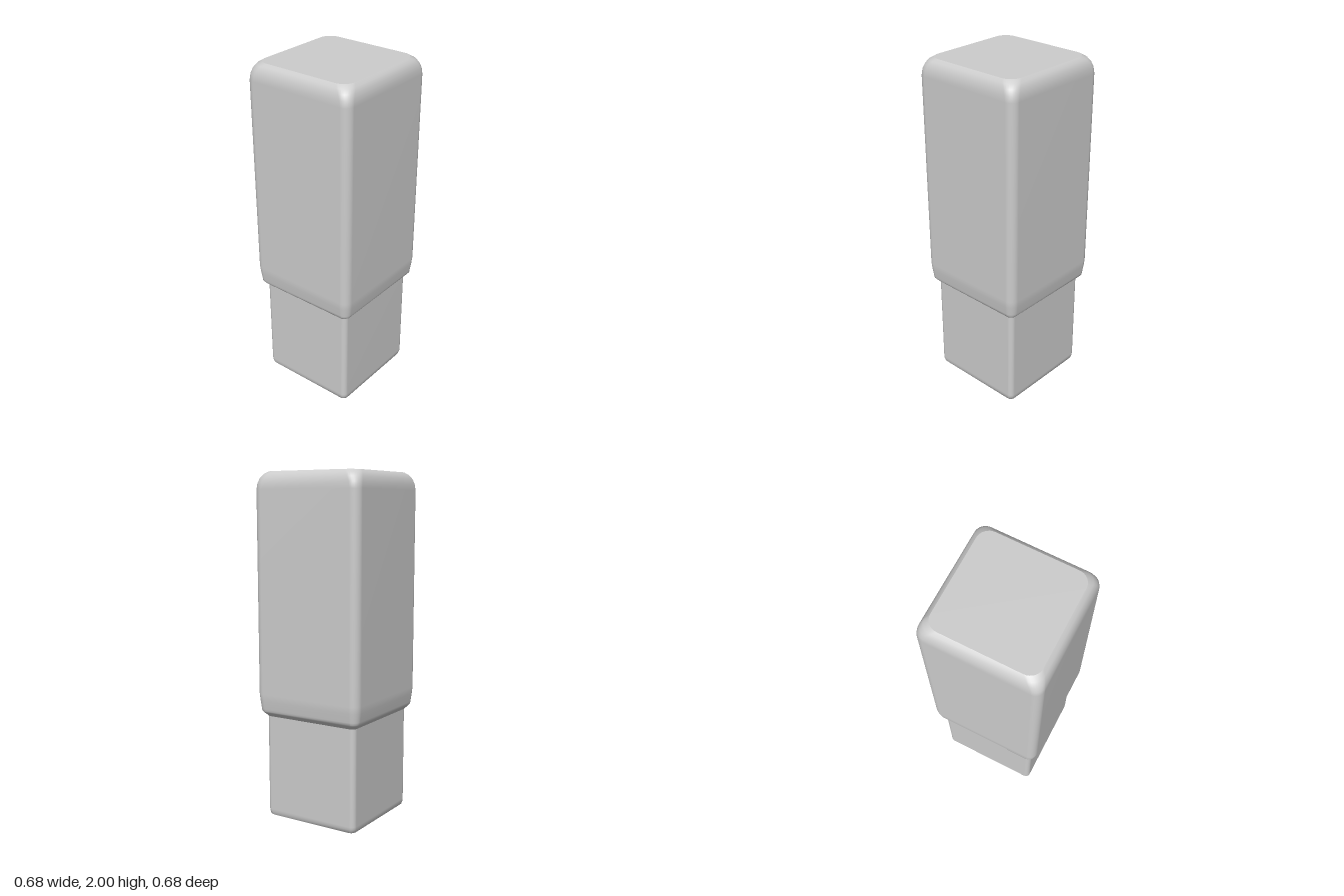
import * as THREE from 'three';

const CORNER_STEPS = 8;

// Outline of a rounded square at one height: half width, corner radius, height
function ring([half, radius, y]) {
  const points = [];
  for (let corner = 0; corner < 4; corner++) {
    const middle = (corner + 0.5) * Math.PI / 2;
    const cx = Math.sign(Math.cos(middle)) * (half - radius);
    const cz = Math.sign(Math.sin(middle)) * (half - radius);
    for (let i = 0; i <= CORNER_STEPS; i++) {
      const a = (corner + i / CORNER_STEPS) * Math.PI / 2;
      points.push(cx + radius * Math.cos(a), y, cz + radius * Math.sin(a));
    }
  }
  return points;
}

// Smooth skin through the rings, listed bottom to top, with flat ends
function loft(sections, closeBottom, closeTop) {
  const n = 4 * (CORNER_STEPS + 1);
  const positions = sections.flatMap(ring);
  const index = [];
  for (let s = 0; s < sections.length - 1; s++) {
    for (let i = 0; i < n; i++) {
      const a = s * n + i, b = s * n + (i + 1) % n;
      index.push(a, a + n, b, b, a + n, b + n);
    }
  }
  const addEnd = (section, up) => {
    const start = positions.length / 3;
    positions.push(...ring(section), 0, section[2], 0);
    for (let i = 0; i < n; i++) {
      const a = start + i, b = start + (i + 1) % n;
      index.push(start + n, up ? b : a, up ? a : b);
    }
  };
  if (closeBottom) addEnd(sections[0], false);
  if (closeTop) addEnd(sections[sections.length - 1], true);
  const geometry = new THREE.BufferGeometry();
  geometry.setAttribute('position', new THREE.Float32BufferAttribute(positions, 3));
  geometry.setIndex(index);
  geometry.computeVertexNormals();
  return geometry;
}

export function createModel() {
  const group = new THREE.Group();
  const grey = new THREE.MeshStandardMaterial({ color: 0xcccccc });
  grey.name = 'plain grey';

  // Narrow base with a small rounded bottom edge
  const base = new THREE.Mesh(loft([
    [0.285, 0.03, 0], [0.293, 0.03, 0.006], [0.298, 0.03, 0.025],
    [0.299, 0.03, 0.04], [0.299, 0.03, 0.62],
  ], true, false), grey);
  base.name = 'base';

  // Wide upper body: flared lip, straight sides, soft top edge
  const body = new THREE.Mesh(loft([
    [0.297, 0.03, 0.603], [0.304, 0.032, 0.61], [0.322, 0.038, 0.628],
    [0.329, 0.042, 0.637], [0.331, 0.045, 0.65], [0.338, 0.05, 0.70],
    [0.341, 0.05, 0.74], [0.341, 0.05, 1.90], [0.338, 0.054, 1.935],
    [0.33, 0.06, 1.963], [0.317, 0.066, 1.985], [0.297, 0.07, 2],
  ], false, true), grey);
  body.name = 'upperBody';

  group.add(base, body);
  return group;
}
